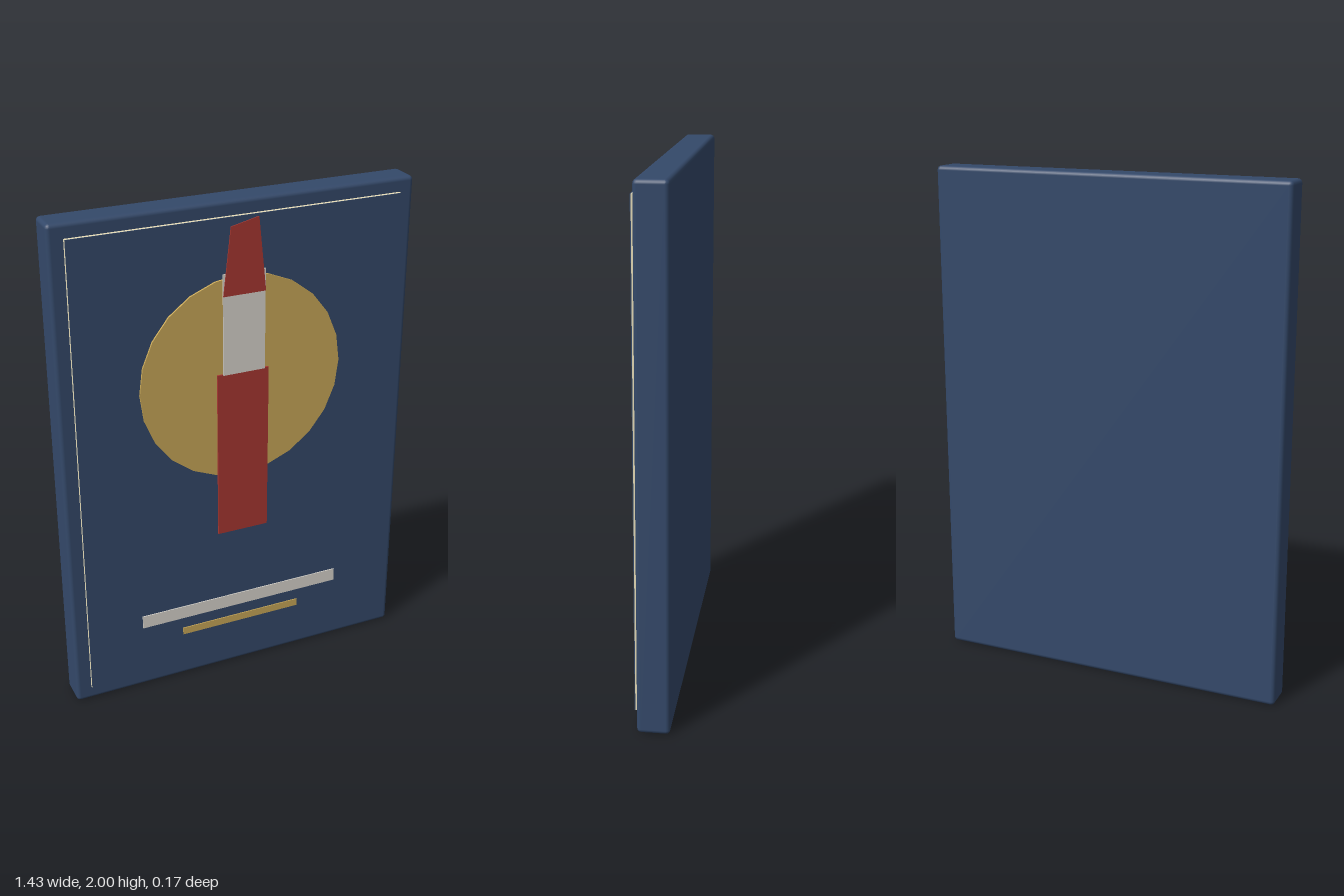
import * as THREE from 'three';
import { RoundedBoxGeometry } from 'three/addons/geometries/RoundedBoxGeometry.js';

const NAVY = 0x34496a, GOLD = 0xc9a858, RED = 0xa83832, IVORY = 0xdad6ce, CREAM = 0xe6dcb8;

export function createModel() {
  const group = new THREE.Group();

  const add = (name, geometry, color, x, y, z) => {
    const material = new THREE.MeshStandardMaterial({ color });
    const mesh = new THREE.Mesh(geometry, material);
    mesh.name = name;
    mesh.position.set(x, y, z);
    group.add(mesh);
    return mesh;
  };
  // thin slab given by its height range and depth range
  const slab = (name, color, width, y0, y1, z0, z1) =>
    add(name, new THREE.BoxGeometry(width, y1 - y0, z1 - z0), color, 0, (y0 + y1) / 2, (z0 + z1) / 2);

  // board with softened edges
  add('board', new RoundedBoxGeometry(1.43, 2, 0.122, 2, 0.016), NAVY, 0, 1, -0.024);

  // pale sheet with its navy printed face
  slab('sheet', CREAM, 1.31, 0.06, 1.945, 0.03, 0.05);
  slab('printedFace', NAVY, 1.31, 0.06, 1.945, 0.05, 0.053);

  // sun disc
  const disc = new THREE.CylinderGeometry(0.41, 0.41, 0.008, 24).rotateX(Math.PI / 2);
  add('disc', disc, GOLD, 0, 1.317, 0.058);

  // lipstick: case, inner sleeve and slanted tip
  slab('lipstickCase', RED, 0.21, 0.66, 1.347, 0.066, 0.073);
  slab('lipstickSleeve', IVORY, 0.17, 1.347, 1.745, 0.077, 0.081);
  const tip = new THREE.Shape([
    new THREE.Vector2(-0.085, 1.66), new THREE.Vector2(0.085, 1.66),
    new THREE.Vector2(0.055, 1.945), new THREE.Vector2(-0.055, 1.92),
  ]);
  add('lipstickTip', new THREE.ExtrudeGeometry(tip, { depth: 0.004, bevelEnabled: false }), RED, 0, 0, 0.081);

  // caption bars
  slab('wideBar', IVORY, 0.86, 0.29, 0.345, 0.053, 0.057);
  slab('narrowBar', GOLD, 0.515, 0.21, 0.241, 0.053, 0.057);

  return group;
}
